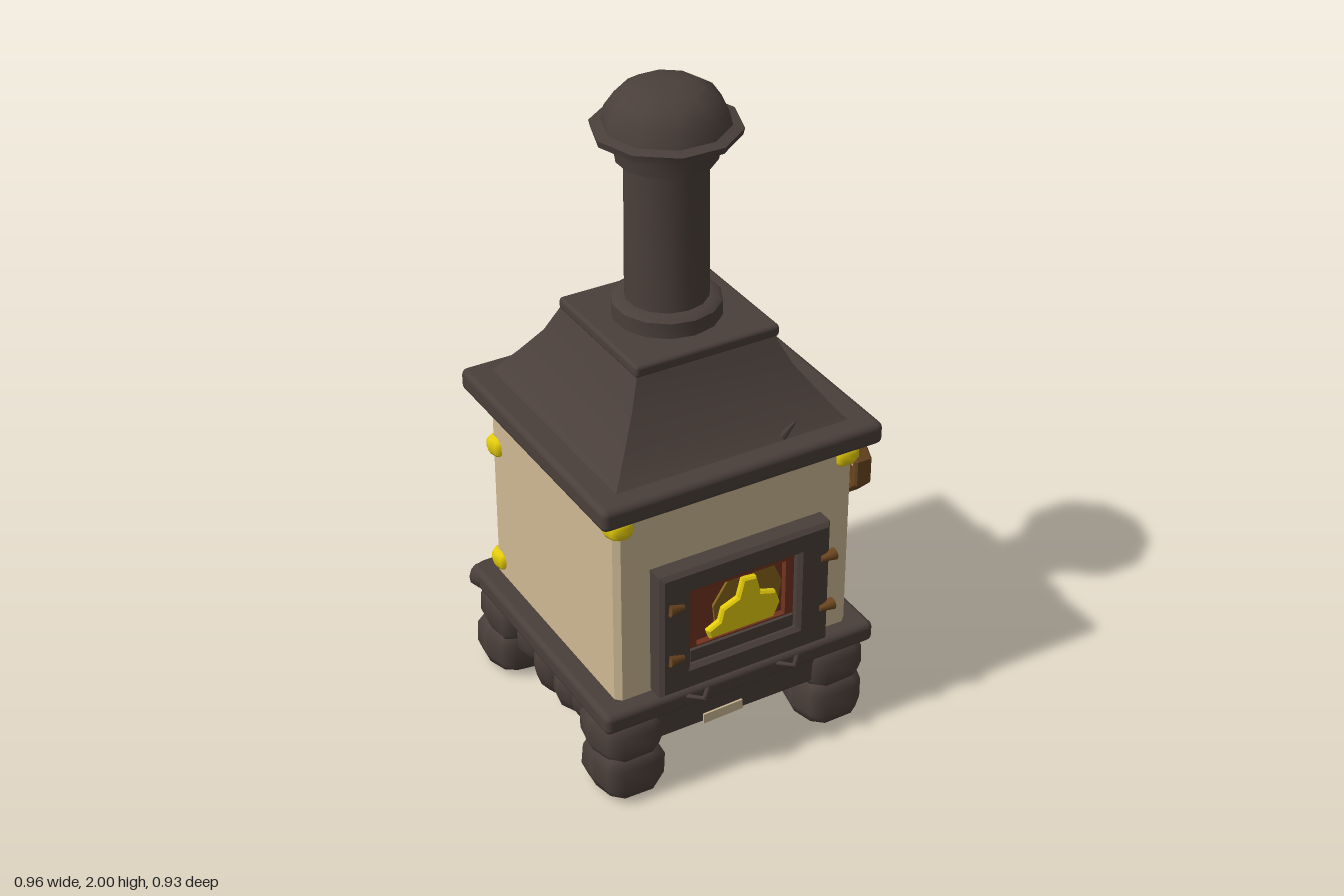
import * as THREE from 'three';
import { toCreasedNormals } from 'three/addons/utils/BufferGeometryUtils.js';
import { RoundedBoxGeometry } from 'three/addons/geometries/RoundedBoxGeometry.js';

const mat = (name, color) => Object.assign(new THREE.MeshStandardMaterial({ color }), { name });
const V = (x, y, z) => new THREE.Vector3(x, y, z);
const CX = -0.02; // the stove stands slightly off the handwheel side

export function createModel() {
  const iron = mat('darkIron', 0x4a3f3a);
  const cream = mat('creamEnamel', 0xcdb893);
  const brass = mat('yellowBrass', 0xe3cb0a);
  const wood = mat('brownWood', 0x6b4520);
  const cloth = mat('blueCloth', 0x2c69a5);
  const ember = mat('emberRed', 0x70331f);
  const glow = mat('dimFlame', 0x86641c);

  const root = new THREE.Group();
  root.name = 'stove';
  const add = (name, geo, m, x = 0, y = 0, z = 0, parent = root) => {
    const mesh = new THREE.Mesh(geo, m);
    mesh.name = name;
    mesh.position.set(x, y, z);
    parent.add(mesh);
    return mesh;
  };
  const slab = (name, x0, x1, y0, y1, z0, z1, m = iron, r = 0.02) =>
    add(name, new RoundedBoxGeometry(x1 - x0, y1 - y0, z1 - z0, 2, r), m,
      (x0 + x1) / 2, (y0 + y1) / 2, (z0 + z1) / 2);
  const lathe = (name, pts, sides, phase, x, z, crease = 0.7) =>
    add(name, toCreasedNormals(new THREE.LatheGeometry(pts.map(p => new THREE.Vector2(...p)), sides, phase), crease),
      iron, x, 0, z);
  const outline = pts => new THREE.Shape(pts.map(p => new THREE.Vector2(...p)));
  const rect = (x0, x1, y0, y1) => [[x0, y0], [x1, y0], [x1, y1], [x0, y1]];
  const plate = (shape, depth, bevel = 0) => new THREE.ExtrudeGeometry(shape, {
    depth, bevelEnabled: bevel > 0, bevelSize: bevel, bevelThickness: bevel, bevelOffset: -bevel, bevelSegments: 1,
  });
  // boxy stone: a sphere pushed towards a block, with a small seeded wobble
  let seed = 7;
  const rnd = () => (seed = (seed * 16807) % 2147483647) / 2147483647;
  const stone = (name, x, y, z, rx, ry, rz, boxy = 0.7, m = iron) => {
    const geo = new THREE.SphereGeometry(1, 10, 7);
    const p = geo.attributes.position;
    const a = rnd() * 6, b = rnd() * 6;
    const push = v => Math.sign(v) * Math.abs(v) ** boxy;
    for (let i = 0; i < p.count; i++) {
      const [px, py, pz] = [p.getX(i), p.getY(i), p.getZ(i)];
      const k = 1 + 0.06 * Math.sin(3 * px + a) * Math.cos(3 * pz + 2 * py + b);
      p.setXYZ(i, push(px) * rx * k, Math.max(push(py) * ry * k, -y), push(pz) * rz * k);
    }
    geo.computeVertexNormals();
    return add(name, geo, m, x, y, z);
  };
  // tapered rod between two points
  const rod = (name, a, b, r0, r1, m, sides = 7) => {
    const d = b.clone().sub(a);
    const mesh = add(name, new THREE.CylinderGeometry(r1, r0, d.length(), sides), m);
    mesh.position.copy(a).add(b).multiplyScalar(0.5);
    mesh.quaternion.setFromUnitVectors(V(0, 1, 0), d.normalize());
    return mesh;
  };

  // stone legs, two stones each
  for (const sx of [-1, 1]) for (const sz of [-1, 1]) {
    const x = CX + sx * 0.34, z = sz * 0.335 - 0.01;
    stone('legLowerStone', x, 0.085, z, 0.107, 0.088, 0.108, 0.62);
    stone('legUpperStone', x + 0.005, 0.205, z - sz * 0.01, 0.11, 0.08, 0.11, 0.65);
  }
  // rubble hanging under the sides and back
  for (const sx of [-1, 1]) for (const [z, y, r] of [[0.16, 0.2, 0.08], [0.05, 0.165, 0.09], [-0.08, 0.16, 0.1], [-0.19, 0.19, 0.09]])
    stone('sideRubble', CX + sx * 0.33, y, z, 0.08, r, 0.075, 0.95);
  for (const [x, y, r] of [[-0.21, 0.23, 0.06], [-0.1, 0.16, 0.1], [0.02, 0.24, 0.07], [0.13, 0.24, 0.07]])
    stone('backRubble', x, y, -0.33, 0.085, r, 0.075, 0.95);

  // base slab, front apron and its small plate
  slab('baseSlab', -0.465, 0.43, 0.27, 0.337, -0.435, 0.425);
  slab('frontApron', -0.3, 0.25, 0.17, 0.28, 0.31, 0.395, iron, 0.015);
  add('apronPlate', new THREE.BoxGeometry(0.13, 0.032, 0.008), cream, -0.07, 0.19, 0.397).rotation.z = 0.03;
  for (const sx of [-1, 1])
    stone('baseCornerLump', CX + sx * 0.36, 0.3, -0.405, 0.1, 0.033, 0.047, 0.7);
  // thin pointed loops along the base edge
  for (const x of [-0.17, 0.13]) for (const sz of [-1, 1]) for (const s of [-1, 1])
    rod('baseLoop', V(x + s * 0.035, 0.315, sz * 0.42), V(x, 0.32, sz * 0.46), 0.008, 0.006, iron, 5);

  // enamel body: plan outline with a recessed back
  const plan = outline([[-0.385, -0.372], [0.35, -0.372], [0.367, -0.355], [0.367, 0.36], [0.35, 0.38],
    [0.3, 0.38], [0.27, 0.36], [0.2, 0.345], [-0.27, 0.34], [-0.295, 0.35], [-0.315, 0.38], [-0.385, 0.38],
    [-0.402, 0.36], [-0.402, -0.355]]);
  add('body', toCreasedNormals(plate(plan, 0.65), 0.7), cream, 0, 0.33, 0).rotation.x = -Math.PI / 2;

  // brass corner caps
  for (const [sx, sz, y] of [[-1, 1, 0.92], [1, 1, 0.92], [-1, -1, 0.79], [-1, -1, 0.385],
    [1, -1, 0.925], [1, -1, 0.79], [1, -1, 0.38]])
    stone('cornerCap', CX + sx * 0.363, y, sz * 0.35, 0.041, 0.034, 0.042, 0.75, brass);

  // roof slab, hood, collar and chimney
  slab('roofSlab', -0.465, 0.43, 0.962, 1.032, -0.435, 0.425);
  const q = Math.SQRT2;
  lathe('hood', [[0.385 * q, 1.02], [0.365 * q, 1.035], [0.31 * q, 1.11], [0.255 * q, 1.19], [0.215 * q, 1.28]],
    4, Math.PI / 4, CX, -0.01, 0.5);
  slab('collarSlab', -0.245, 0.212, 1.268, 1.306, -0.23, 0.215, iron, 0.012);
  lathe('chimney', [[0, 1.3], [0.157, 1.3], [0.157, 1.352], [0.145, 1.362], [0.12, 1.365], [0.118, 1.78],
    [0.142, 1.785], [0.152, 1.85], [0, 1.85]], 14, 0, CX, -0.01);
  lathe('chimneyCap', [[0, 1.835], [0.15, 1.84], [0.205, 1.858], [0.21, 1.878], [0.178, 1.885], [0.168, 1.925],
    [0.14, 1.965], [0.1, 1.99], [0.05, 2], [0, 2]], 10, 0.3, CX, -0.01);
  // little hooks on the roof
  for (const [x, z, dx, dz] of [[0.14, 0.345, 0.03, 0.02], [0.34, -0.18, 0.02, -0.03], [-0.17, -0.36, -0.03, -0.01], [0.18, -0.36, 0.03, -0.01]])
    rod('roofHook', V(x, 1.03, z), V(x + dx, 1.085, z + dz), 0.014, 0.004, iron, 5);

  // firebox door: frame, ember liner, back and flames
  const frame = outline(rect(-0.295, 0.26, 0.345, 0.758));
  frame.holes.push(outline(rect(-0.195, 0.155, 0.425, 0.68)));
  add('doorFrame', plate(frame, 0.05, 0.012), iron, 0, 0, 0.372);
  const liner = outline(rect(-0.2, 0.16, 0.42, 0.685));
  liner.holes.push(outline(rect(-0.165, 0.128, 0.47, 0.655)));
  add('doorLiner', plate(liner, 0.02), ember, 0, 0, 0.385);
  add('doorSill', new THREE.BoxGeometry(0.34, 0.045, 0.03), iron, -0.02, 0.443, 0.4);
  add('fireboxBack', new THREE.BoxGeometry(0.36, 0.27, 0.008), ember, -0.02, 0.553, 0.375);
  add('backFlame', plate(outline([[-0.09, 0.48], [0.11, 0.48], [0.125, 0.58], [0.1, 0.64], [0.04, 0.655],
    [-0.05, 0.645], [-0.1, 0.57]]), 0.008), glow, 0, 0, 0.38);
  add('flame', plate(outline([[-0.12, 0.475], [0.09, 0.475], [0.11, 0.52], [0.095, 0.565], [0.045, 0.58], [0.03, 0.64],
    [-0.015, 0.645], [-0.03, 0.585], [-0.08, 0.565], [-0.09, 0.525], [-0.13, 0.505]]), 0.012, 0.006), brass, 0, 0, 0.392);
  for (const [x, s] of [[-0.245, -1], [0.248, 1]]) for (const y of [0.645, 0.47])
    rod('doorHinge', V(x - s * 0.022, y, 0.435), V(x + s * 0.025, y + 0.004, 0.435), 0.009, 0.019, wood);

  // handwheel on the left side
  const wheel = new THREE.Group();
  wheel.name = 'handwheel';
  wheel.position.set(0.437, 0.805, 0.228);
  wheel.rotation.y = Math.PI / 2;
  root.add(wheel);
  const ring = new THREE.Shape(), hole = new THREE.Path();
  for (let i = 0; i < 8; i++) {
    const a = (i + 0.5) * Math.PI / 4, c = Math.cos(a), s = Math.sin(a);
    ring[i ? 'lineTo' : 'moveTo'](c * 0.106, s * 0.106);
    hole[i ? 'lineTo' : 'moveTo'](c * 0.078, s * 0.078);
  }
  ring.holes.push(hole);
  add('wheelRim', plate(ring, 0.044, 0.006), wood, 0, 0, -0.022, wheel);
  for (let i = 0; i < 5; i++) {
    const a = 0.3 + i * Math.PI * 0.4;
    add('wheelSpoke', new THREE.BoxGeometry(0.085, 0.016, 0.016), wood,
      Math.cos(a) * 0.042, Math.sin(a) * 0.042, 0, wheel).rotation.z = a;
  }
  const axle = (name, r, d, m, z) => {
    add(name, new THREE.CylinderGeometry(r, r, d, 10), m, 0, 0, z, wheel).rotation.x = Math.PI / 2;
  };
  axle('wheelHub', 0.022, 0.03, wood, 0.002);
  axle('wheelAxle', 0.014, 0.07, wood, -0.035);
  axle('wheelBackplate', 0.076, 0.034, brass, -0.055);

  // hanging cloth, lever and coat hook
  const rag = outline([[-0.09, 0.745], [-0.06, 0.755], [-0.03, 0.72], [0.08, 0.722], [0.105, 0.7], [0.19, 0.705],
    [0.192, 0.61], [0.15, 0.57], [0.12, 0.595], [-0.03, 0.585], [-0.045, 0.62], [-0.065, 0.66]]);
  add('cloth', plate(rag, 0.012, 0.01), cloth, 0.366, 0, 0).rotation.y = Math.PI / 2;
  rod('clothFold', V(0.375, 0.655, 0.03), V(0.375, 0.645, -0.18), 0.03, 0.032, cloth, 8).scale.x = 0.8;
  rod('lever', V(0.36, 0.612, 0.1), V(0.45, 0.565, 0.1), 0.013, 0.016, wood);
  stone('leverKnob', 0.455, 0.557, 0.1, 0.021, 0.036, 0.034, 0.9, wood);
  rod('coatHook', V(0.36, 0.785, -0.105), V(0.395, 0.785, -0.105), 0.014, 0.022, iron, 6);
  return root;
}
